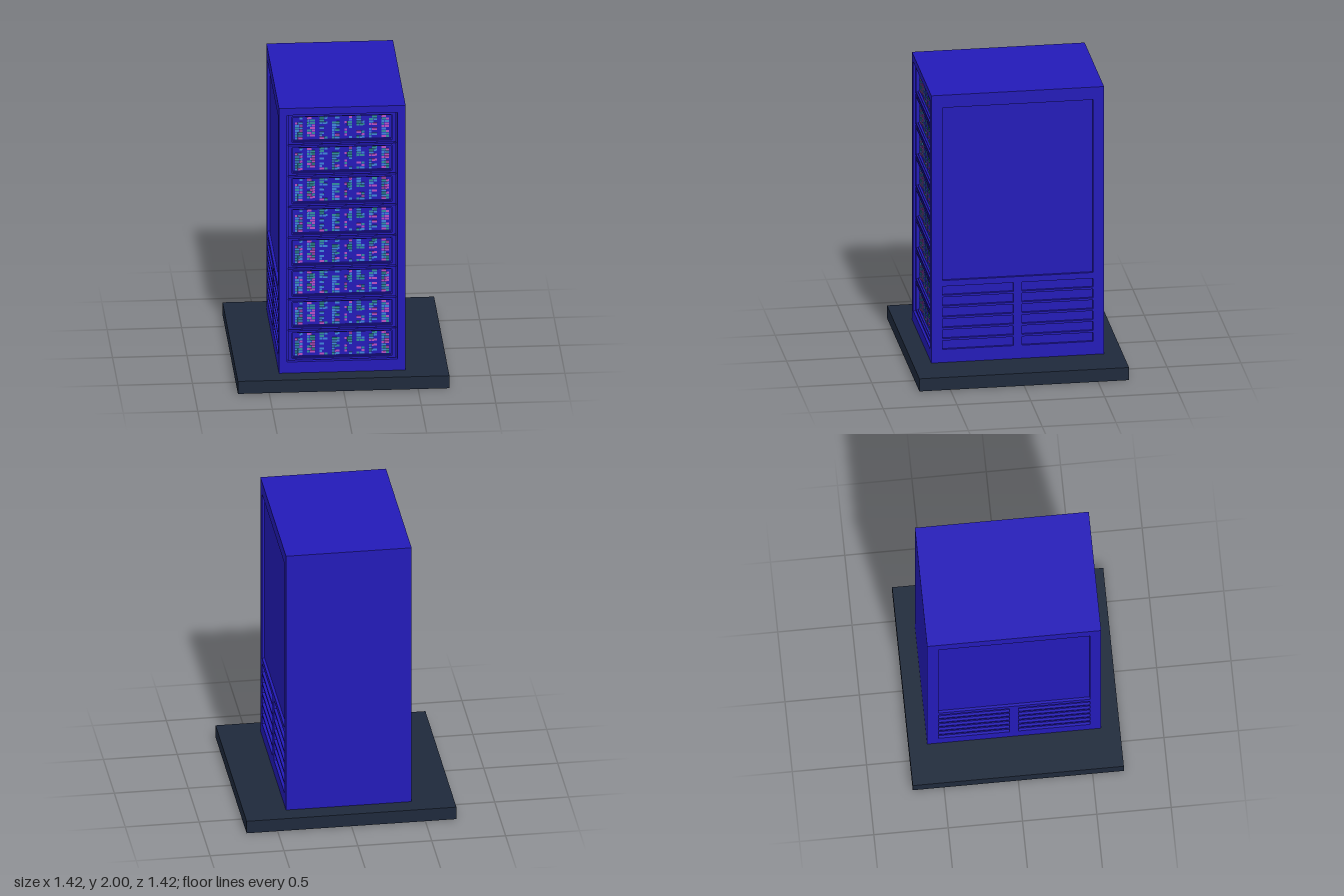
import * as THREE from 'three';
import { mergeGeometries } from 'three/addons/utils/BufferGeometryUtils.js';

const material = (color) => new THREE.MeshStandardMaterial({ color });
const BLUE = material(0x231ab8);
const SLATE = material(0x1e293b);
const LED_COLORS = [0x3f86dc, 0x2f8f9f, 0xbb4fc4].map(material);

const UNITS = 8, PITCH = 0.2225, BOTTOM = 0.17;

function addMesh(parent, name, geometry, mat) {
  const mesh = new THREE.Mesh(geometry, mat);
  mesh.name = name;
  parent.add(mesh);
  return mesh;
}

function box(w, h, d, x, y, z) {
  return new THREE.BoxGeometry(w, h, d).translate(x, y, z);
}

function trace(path, [x0, y0, x1, y1]) {
  path.moveTo(x0, y0);
  path.lineTo(x1, y0);
  path.lineTo(x1, y1);
  path.lineTo(x0, y1);
  path.closePath();
  return path;
}

// Flat plate with rectangular openings; rectangles are [x0, y0, x1, y1]
function plate(outer, openings, depth) {
  const shape = trace(new THREE.Shape(), outer);
  shape.holes = openings.map((r) => trace(new THREE.Path(), r));
  return new THREE.ExtrudeGeometry(shape, { depth, bevelEnabled: false });
}

// One repeating light pattern: rows of a wide and a narrow lamp in eight columns
function lightGeometries() {
  let seed = 11;
  const random = () => {
    seed = (seed * 16807) % 2147483647;
    return seed / 2147483647;
  };
  const lists = LED_COLORS.map(() => []);
  const rows = 9, columns = 8, width = 0.052, gap = 0.003;
  for (let c = 0; c < columns; c++) {
    const left = -0.29 + c * 0.083 - width / 2;
    for (let r = 0; r < rows; r++) {
      const y = -0.072 + r * 0.018;
      const split = width * (random() < 0.5 ? 0.38 : 0.62);
      for (const [a, b] of [[0, split - gap], [split, width]]) {
        const lit = random() < 0.72;
        const pick = random();
        if (!lit) continue;
        const k = pick < 0.42 ? 0 : pick < 0.68 ? 1 : 2;
        lists[k].push(box(b - a, 0.0145, 0.004, left + (a + b) / 2, y, 0.002));
      }
    }
  }
  return lists.map((list) => mergeGeometries(list));
}

export function createModel() {
  const model = new THREE.Group();
  model.name = 'serverRack';

  // Square floor plinth
  addMesh(model, 'base', box(1.42, 0.09, 1.42, 0, 0.045, 0), SLATE);

  // Cabinet core, which is also the floor of every recess
  addMesh(model, 'cabinetCore', box(0.814, 1.91, 1.13, 0, 1.045, -0.02), BLUE);

  // Side skins: one large recessed panel over two columns of vents
  const openings = [[-0.51, 0.675, 0.51, 1.91]];
  for (let i = 0; i < 6; i++) {
    const y = 0.183 + i * 0.0775;
    openings.push([-0.51, y, -0.03, y + 0.063], [0.03, y, 0.51, y + 0.063]);
  }
  const skin = plate([-0.585, 0.09, 0.585, 2], openings, 0.018);
  for (const side of [1, -1]) {
    const mesh = addMesh(model, side > 0 ? 'leftSidePanel' : 'rightSidePanel', skin, BLUE);
    mesh.rotation.y = (side * Math.PI) / 2;
    mesh.position.x = side * 0.407;
  }

  // Front frame around the server bay
  const top = BOTTOM + UNITS * PITCH;
  const frame = plate([-0.407, 0.09, 0.407, 2], [[-0.37, BOTTOM, 0.37, top]], 0.04);
  addMesh(model, 'frontFrame', frame, BLUE).position.z = 0.545;

  // Stacked server units, each with a recessed window of lights
  const face = plate([-0.362, -0.106, 0.362, 0.106], [[-0.335, -0.092, 0.335, 0.092]], 0.025);
  const rim = plate([-0.335, -0.092, 0.335, 0.092], [[-0.328, -0.085, 0.328, 0.085]], 0.014);
  const lights = lightGeometries();
  for (let i = 0; i < UNITS; i++) {
    const unit = new THREE.Group();
    unit.name = 'serverUnit' + (i + 1);
    unit.position.set(0, BOTTOM + (i + 0.5) * PITCH, 0.545);
    addMesh(unit, 'unitFace', face, BLUE);
    addMesh(unit, 'windowRim', rim, BLUE);
    lights.forEach((g, k) => addMesh(unit, 'statusLights' + (k + 1), g, LED_COLORS[k]));
    model.add(unit);
  }
  return model;
}
